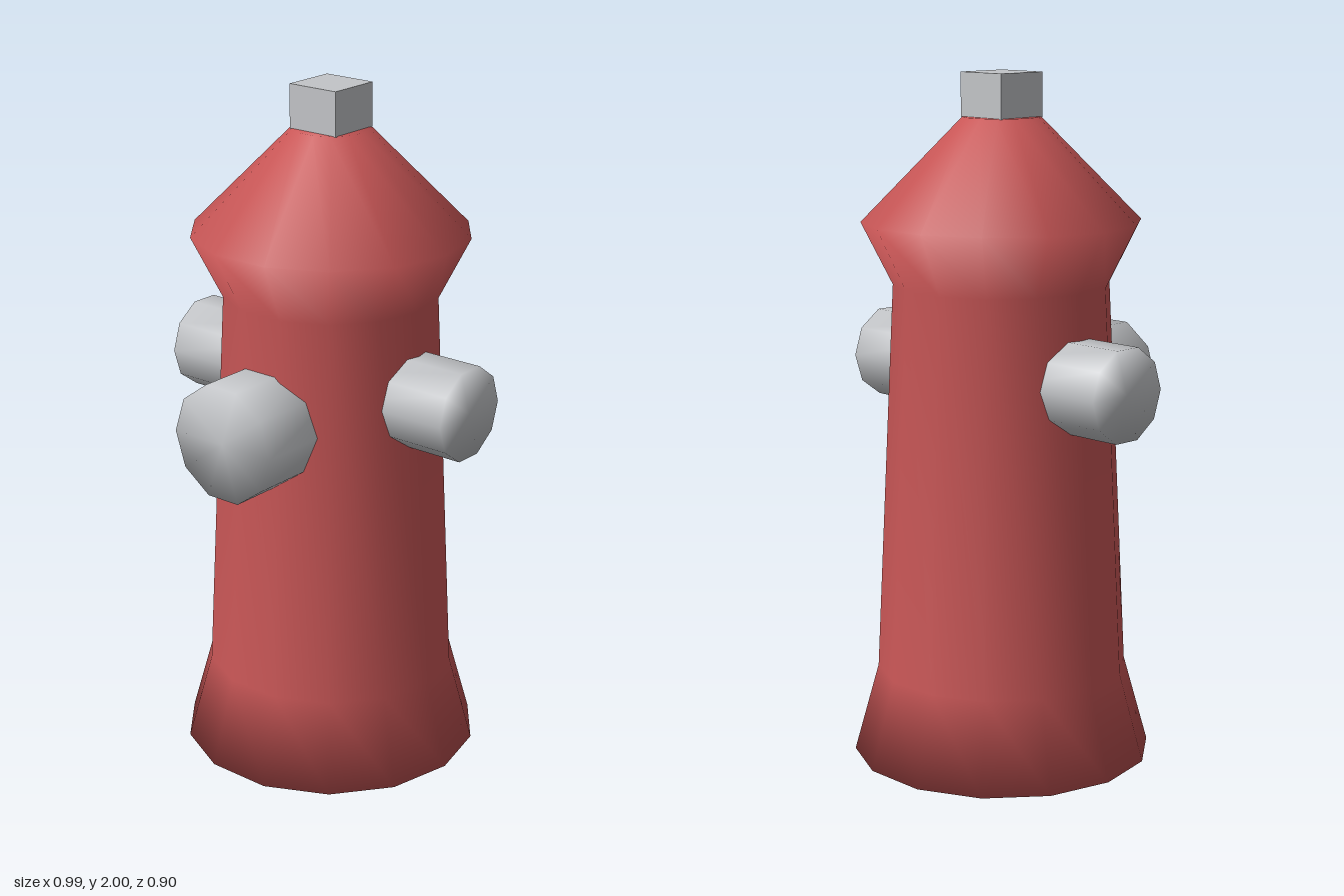
import * as THREE from 'three';

const AXIS_Z = -0.025; // the barrel sits slightly behind centre

// Closed, smooth-shaded solid of revolution from [radius, height] pairs
function turned(profile, sides, phiStart) {
  const points = profile.map(([r, y]) => new THREE.Vector2(r, y));
  return new THREE.LatheGeometry(points, sides, phiStart);
}

export function createModel() {
  const red = new THREE.MeshStandardMaterial({ color: 0xc85656 });
  red.name = 'red paint';
  const grey = new THREE.MeshStandardMaterial({ color: 0xc3c5c8 });
  grey.name = 'grey metal';

  const model = new THREE.Group();
  model.name = 'hydrant';
  const add = (name, geometry, material, x, y, z) => {
    const mesh = new THREE.Mesh(geometry, material);
    mesh.name = name;
    mesh.position.set(x, y, z);
    model.add(mesh);
  };

  // Barrel: flared foot, tapering column, conical bonnet
  add('barrel', turned([
    [0, 0], [0.44, 0], [0.368, 0.26], [0.313, 1.4],
    [0.403, 1.58], [0.112, 1.875], [0, 1.875],
  ], 14, Math.PI / 2), red, 0, 0, AXIS_Z);

  // Square operating nut
  add('topNut', new THREE.BoxGeometry(0.163, 0.127, 0.163), grey, 0, 1.9365, AXIS_Z);

  // Ten-sided outlets, starting inside the barrel
  const outlet = (radius, length) =>
    turned([[0, 0], [radius, 0], [radius, length], [0, length]], 10, 0);

  add('frontOutlet', outlet(0.174, 0.35).rotateY(Math.PI / 2).rotateX(Math.PI / 2),
    grey, 0, 1.07, 0.1);

  for (const side of [1, -1]) {
    add(side > 0 ? 'leftOutlet' : 'rightOutlet',
      outlet(0.137, 0.345).rotateZ(-side * Math.PI / 2),
      grey, side * 0.15, 1.14, AXIS_Z);
  }
  return model;
}
